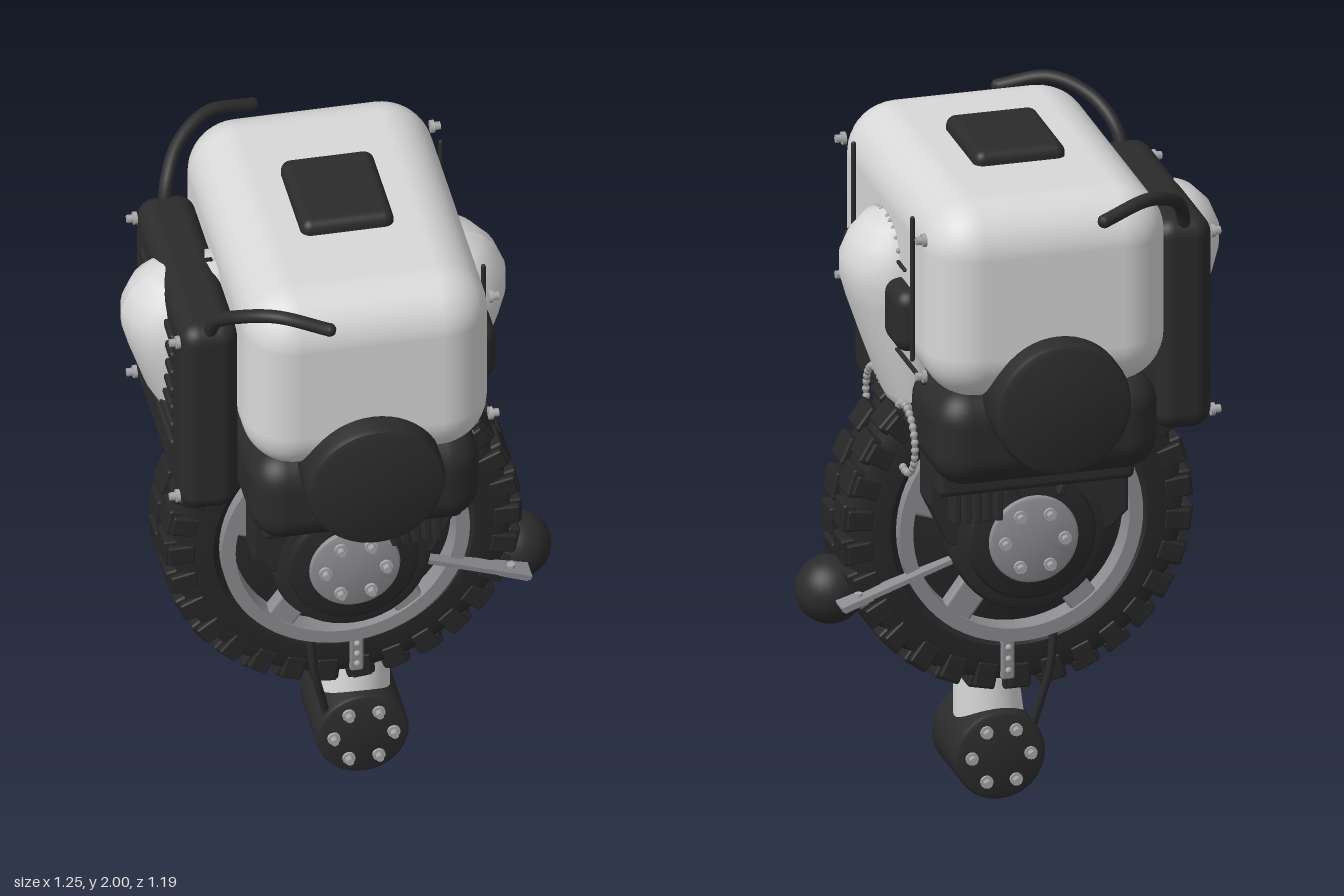
import * as THREE from 'three';
import { toCreasedNormals } from 'three/addons/utils/BufferGeometryUtils.js';
import { RoundedBoxGeometry } from 'three/addons/geometries/RoundedBoxGeometry.js';

const mat = (name, color) => {
  const m = new THREE.MeshStandardMaterial({ color });
  m.name = name;
  return m;
};
const shell = mat('pale shell', 0xd8d8d8);
const dark = mat('dark plastic', 0x2b2b2b);
const rubber = mat('rubber', 0x272727);
const metal = mat('grey metal', 0x8c8c91);
const boltMat = mat('bolt steel', 0xa8a8aa);
const WY = 0.85; // wheel axle height

export function createModel() {
  const root = new THREE.Group();
  root.name = 'monowheelRobot';

  const add = (name, geo, m, x = 0, y = 0, z = 0, parent = root) => {
    const mesh = new THREE.Mesh(geo, m);
    mesh.name = name;
    mesh.position.set(x, y, z);
    parent.add(mesh);
    return mesh;
  };
  // rounded box given by its limits
  const rbox = (name, m, x0, x1, y0, y1, z0, z1, r, seg = 4) =>
    add(name, new RoundedBoxGeometry(x1 - x0, y1 - y0, z1 - z0, seg, r), m,
      (x0 + x1) / 2, (y0 + y1) / 2, (z0 + z1) / 2);
  // revolved profile of [radius, z] points about the z axis
  const turned = (pts, seg = 48) => {
    const g = new THREE.LatheGeometry(pts.map(p => new THREE.Vector2(...p)), seg);
    g.rotateX(Math.PI / 2);
    return toCreasedNormals(g, 0.6);
  };
  const disc = (r, z0, z1, b) =>
    turned([[0, z0], [r - b, z0], [r - b * 0.3, z0 + b * 0.3], [r, z0 + b],
      [r, z1 - b], [r - b * 0.3, z1 - b * 0.3], [r - b, z1], [0, z1]]);
  // bolt with washer and hex head, pointing along a direction
  const washerGeo = new THREE.CylinderGeometry(0.019, 0.019, 0.012, 12);
  const headGeo = new THREE.CylinderGeometry(0.012, 0.012, 0.02, 6);
  const bolt = (x, y, z, dx, dz) => {
    const g = new THREE.Group();
    g.name = 'bolt';
    add('washer', washerGeo, boltMat, 0, 0, 0, g);
    add('head', headGeo, boltMat, 0, 0.014, 0, g);
    g.position.set(x, y, z);
    g.quaternion.setFromUnitVectors(new THREE.Vector3(0, 1, 0), new THREE.Vector3(dx, 0, dz));
    root.add(g);
  };
  const tube = (name, m, r, ...pts) => {
    const v = pts.map(p => new THREE.Vector3(...p));
    add(name, new THREE.TubeGeometry(new THREE.CatmullRomCurve3(v), 28, r, 10), m);
    for (const p of [v[0], v[v.length - 1]]) add(name + 'End', new THREE.SphereGeometry(r, 10, 8), m, p.x, p.y, p.z);
  };

  // Upper body, hatch and backpack
  rbox('body', shell, -0.35, 0.36, 1.36, 1.96, -0.52, 0.52, 0.15, 5);
  rbox('topHatch', dark, -0.13, 0.14, 1.93, 2.0, -0.165, 0.165, 0.03);
  rbox('backpack', dark, -0.515, -0.345, 1.155, 1.8, -0.345, 0.345, 0.055);
  for (let i = 0; i < 7; i++) {
    const y = 1.3 + i * 0.062;
    rbox('backpackSlat', dark, -0.525, -0.5, y, y + 0.034, -0.22, 0.22, 0.01, 2);
  }

  // Side fairings lofted from elliptical sections: [y, outer x, half depth]
  const fairing = (name, rows, inner, sign) => {
    const N = 28, pos = [], idx = [];
    for (const [y, ox, rz] of rows) {
      const cx = (ox + inner(y)) / 2, rx = (ox - inner(y)) / 2;
      for (let i = 0; i <= N; i++) {
        const a = (i / N) * Math.PI * 2;
        pos.push(sign * (cx + Math.cos(a) * rx), y, Math.sin(a) * rz);
      }
    }
    for (let r = 0; r < rows.length - 1; r++) for (let i = 0; i < N; i++) {
      const a = r * (N + 1) + i, b = a + 1, c = a + N + 1, d = c + 1;
      if (sign > 0) idx.push(a, b, c, b, d, c);
      else idx.push(a, c, b, b, c, d);
    }
    const g = new THREE.BufferGeometry();
    g.setAttribute('position', new THREE.Float32BufferAttribute(pos, 3));
    g.setIndex(idx);
    g.computeVertexNormals();
    const mesh = add(name, g, shell);
    mesh.material.side = THREE.DoubleSide;
  };
  const top = [[1.795, 0.31, 0.01], [1.79, 0.36, 0.06], [1.765, 0.42, 0.11], [1.72, 0.465, 0.145],
    [1.66, 0.49, 0.163], [1.6, 0.49, 0.168], [1.53, 0.47, 0.166], [1.4, 0.425, 0.155]];
  fairing('leftFairing', [...top, [1.25, 0.37, 0.14], [1.21, 0.35, 0.125], [1.2, 0.3, 0.02]], y => 0.2 + (y > 1.75 ? 0.08 : 0), 1);
  fairing('rightFairing', [...top.map(([y, x, z]) => [y, x + 0.13, z]), [1.25, 0.47, 0.14], [1.08, 0.36, 0.1], [1.07, 0.32, 0.01]],
    y => 0.3, -1);

  for (const s of [1, -1]) {
    const span = (a, b) => (s > 0 ? [a, b] : [-b, -a]);
    // Round side pods, shoulder pads and padding beside the fairing
    add('sidePod', disc(0.2, ...span(0.42, 0.597), 0.022), dark, 0, 1.363, 0);
    rbox('shoulderPad', dark, -0.33, 0.335, 1.09, 1.385, ...span(0.1, 0.475), 0.1, 5);
    rbox('fairingPad', dark, 0.3, 0.41, 1.46, 1.65, ...span(0.13, 0.3), 0.045);
    // Hoses from the backpack to the front and back
    tube('hose', dark, 0.02, [-0.435, 1.74, s * 0.3], [-0.42, 1.83, s * 0.34], [-0.37, 1.9, s * 0.42],
      [-0.27, 1.94, s * 0.495], [-0.13, 1.91, s * 0.545]);
    // Guard rods, rivet plate and bolts on the left and right faces
    tube('uprightRod', dark, 0.007, [0.367, 1.45, s * 0.3], [0.367, 1.88, s * 0.3]);
    tube('lowerRod', dark, 0.007, [0.365, 1.42, s * 0.13], [0.365, 1.42, s * 0.41]);
    tube('shortRod', dark, 0.006, [0.365, 1.69, s * 0.13], [0.365, 1.69, s * 0.215]);
    for (const y of [1.855, 1.44]) bolt(0.365, y, s * 0.41, 1, 0);
    for (const y of [1.745, 1.2]) bolt(-0.52, y, s * 0.3, -1, 0);
    for (let i = 0; i < 6; i++)
      add('rivet', new THREE.SphereGeometry(0.008, 8, 6), boltMat, 0.362, 1.785 - i * i * 0.004, s * (0.03 + i * 0.028));
    // Beaded loop
    const ring = add('loopRing', new THREE.TorusGeometry(0.1, 0.008, 8, 40), metal, 0.345, 1.15, s * 0.15);
    ring.rotation.y = Math.PI / 2;
    for (let i = 0; i < 28; i++) {
      const a = (i / 28) * Math.PI * 2;
      add('loopBead', new THREE.SphereGeometry(0.012, 6, 5), boltMat, 0.345, 1.15 + 0.1 * Math.sin(a), s * 0.15 + 0.1 * Math.cos(a));
    }

    // Fork cheek, yoke and cooling fins
    const cheek = new THREE.Shape();
    cheek.moveTo(-0.23, 0.85);
    cheek.lineTo(0.23, 0.85);
    cheek.lineTo(0.29, 0.98);
    cheek.lineTo(0.29, 1.12);
    cheek.lineTo(-0.28, 1.12);
    cheek.lineTo(-0.28, 0.9);
    add('forkCheek', new THREE.ExtrudeGeometry(cheek, { depth: 0.09, bevelSize: 0.01, bevelThickness: 0.01, bevelSegments: 2 }),
      dark, 0, 0, s > 0 ? 0.145 : -0.235);
    rbox('forkYoke', dark, -0.28, 0.3, 1.03, 1.14, ...span(0.14, 0.345), 0.02, 3);
    for (let i = 0; i < 5; i++)
      rbox('coolingFin', dark, 0.1 + i * 0.031, 0.122 + i * 0.031, 0.93, 1.04, ...span(0.2, 0.31), 0.006, 1);
    for (const x of [-0.09, 0.07]) {
      const strap = rbox('strap', dark, x - 0.012, x + 0.012, 0.98, 1.08, ...span(0.22, 0.3), 0.008, 1);
      strap.rotation.z = -Math.sign(x) * 0.35;
    }

    // Hub with bolted cap
    add('hubDrum', disc(0.23, ...span(0.1, 0.25), 0.025), dark, 0, WY, 0);
    add('hubCollar', disc(0.19, ...span(0.2, 0.27), 0.02), rubber, 0, WY, 0);
    add('hubCap', disc(0.132, ...span(0.2, 0.285), 0.012), metal, 0, WY, 0);
    for (let i = 0; i < 6; i++) {
      const a = (i / 6) * Math.PI * 2;
      bolt(0.088 * Math.cos(a), WY + 0.088 * Math.sin(a), s * 0.288, 0, s);
      bolt(0.055 + 0.087 * Math.cos(a), 0.14 + 0.087 * Math.sin(a), s * 0.132, 0, s);
    }
    // Rim spokes
    for (let i = 0; i < 5; i++) {
      const a = Math.PI / 2 + (i / 5) * Math.PI * 2;
      const spoke = add('spoke', new RoundedBoxGeometry(0.16, 0.09, 0.05, 2, 0.01), metal,
        0.265 * Math.cos(a), WY + 0.265 * Math.sin(a), s * 0.115);
      spoke.rotation.z = a;
    }
    // Tapered arm out to the tail ball
    const arm = new THREE.Shape([[0, 0.155], [0.35, 0.1], [0.35, 0.168], [0, 0.185]].map(p => new THREE.Vector2(p[0], s * p[1])));
    const armMesh = add('tailArm', new THREE.ExtrudeGeometry(arm, { depth: 0.014, bevelEnabled: false }).rotateX(Math.PI / 2),
      metal, 0.21, 0.78, 0);
    armMesh.rotation.z = -0.365;
    add('tailRivet', new THREE.CylinderGeometry(0.012, 0.012, 0.03, 8), boltMat, 0.48, 0.672, s * 0.14);
    // Foot bracket
    rbox('footBracket', metal, 0.015, 0.055, 0.37, 0.5, ...span(0.11, 0.135), 0.008, 1);
    for (let i = 0; i < 3; i++)
      add('bracketRivet', new THREE.SphereGeometry(0.01, 8, 6), boltMat, 0.035, 0.4 + i * 0.035, s * 0.137);
    tube('footCable', dark, 0.012, [-0.1, 0.52, s * 0.13], [-0.09, 0.4, s * 0.13], [-0.05, 0.22, s * 0.1]);
  }

  // Tyre, rim and inner disc
  add('tyre', turned([[0.35, -0.1], [0.38, -0.125], [0.45, -0.125], [0.485, -0.11], [0.498, -0.07], [0.498, 0.07],
    [0.485, 0.11], [0.45, 0.125], [0.38, 0.125], [0.35, 0.1]], 64), rubber, 0, WY, 0);
  add('rim', turned([[0.315, -0.1], [0.32, -0.148], [0.36, -0.148], [0.36, 0.148], [0.32, 0.148], [0.315, 0.1], [0.315, -0.1]], 64),
    metal, 0, WY, 0);
  add('wheelDisc', disc(0.33, -0.09, 0.09, 0.005), rubber, 0, WY, 0);
  // Staggered tread blocks, with shoulder lugs at the edges
  const blockGeo = new RoundedBoxGeometry(0.04, 0.082, 0.1, 1, 0.008);
  const lugGeo = new RoundedBoxGeometry(0.075, 0.06, 0.022, 1, 0.006);
  const T = 30;
  for (let i = 0; i < T; i++) for (const s of [1, -1]) {
    const a = ((i + (s > 0 ? 0 : 0.5)) / T) * Math.PI * 2;
    for (const [name, g, r, z] of [['treadBlock', blockGeo, 0.5, 0.06], ['treadLug', lugGeo, 0.472, 0.118]])
      add(name, g, rubber, r * Math.cos(a), WY + r * Math.sin(a), s * z).rotation.z = a;
  }

  // Tail ball with its cross plate
  add('tailBall', new THREE.SphereGeometry(0.1, 32, 20), dark, 0.525, 0.652, 0);
  const plate = add('tailPlate', new THREE.BoxGeometry(0.09, 0.014, 0.33), metal, 0.485, 0.66, 0);
  plate.rotation.z = -0.365;

  // Foot roller and its pale leg
  add('footRoller', disc(0.134, -0.13, 0.13, 0.015), dark, 0.055, 0.137, 0);
  add('leg', new THREE.CylinderGeometry(0.088, 0.105, 0.26, 32), shell, 0.06, 0.29, 0).rotation.z = -0.06;

  return root;
}
